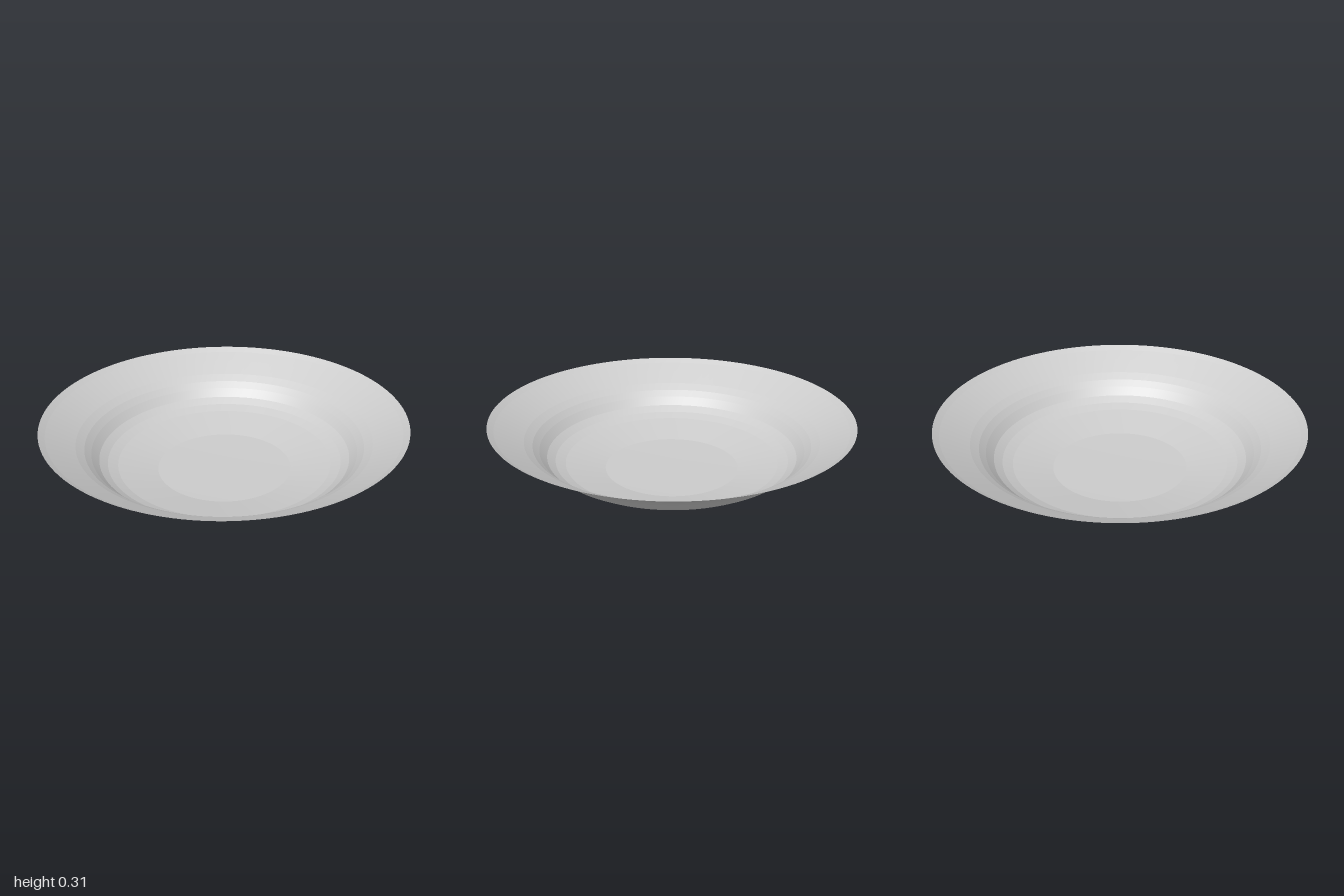
import * as THREE from 'three';
import { toCreasedNormals } from 'three/addons/utils/BufferGeometryUtils.js';

export function createModel() {
  const group = new THREE.Group();
  group.name = 'soupPlate';

  // Radius and height from the centre of the base out to the rim
  const profile = [
    [0, 0], [0.37, 0.008], [0.48, 0.03], [0.59, 0.053], [0.645, 0.073],
    [0.69, 0.1], [0.73, 0.142], [0.765, 0.173], [0.81, 0.202],
    [0.9, 0.25], [0.965, 0.284], [1, 0.305],
  ].map(([r, y]) => new THREE.Vector2(r, y));

  // Thin turned shell, slightly narrower in depth; soft around, banded along the profile
  const shell = new THREE.LatheGeometry(profile, 128);
  shell.scale(1, 1, 0.985);
  const material = new THREE.MeshStandardMaterial({ color: 0xcccccc, side: THREE.DoubleSide });
  const plate = new THREE.Mesh(toCreasedNormals(shell, 0.055), material);
  plate.name = 'plateShell';
  group.add(plate);

  return group;
}
